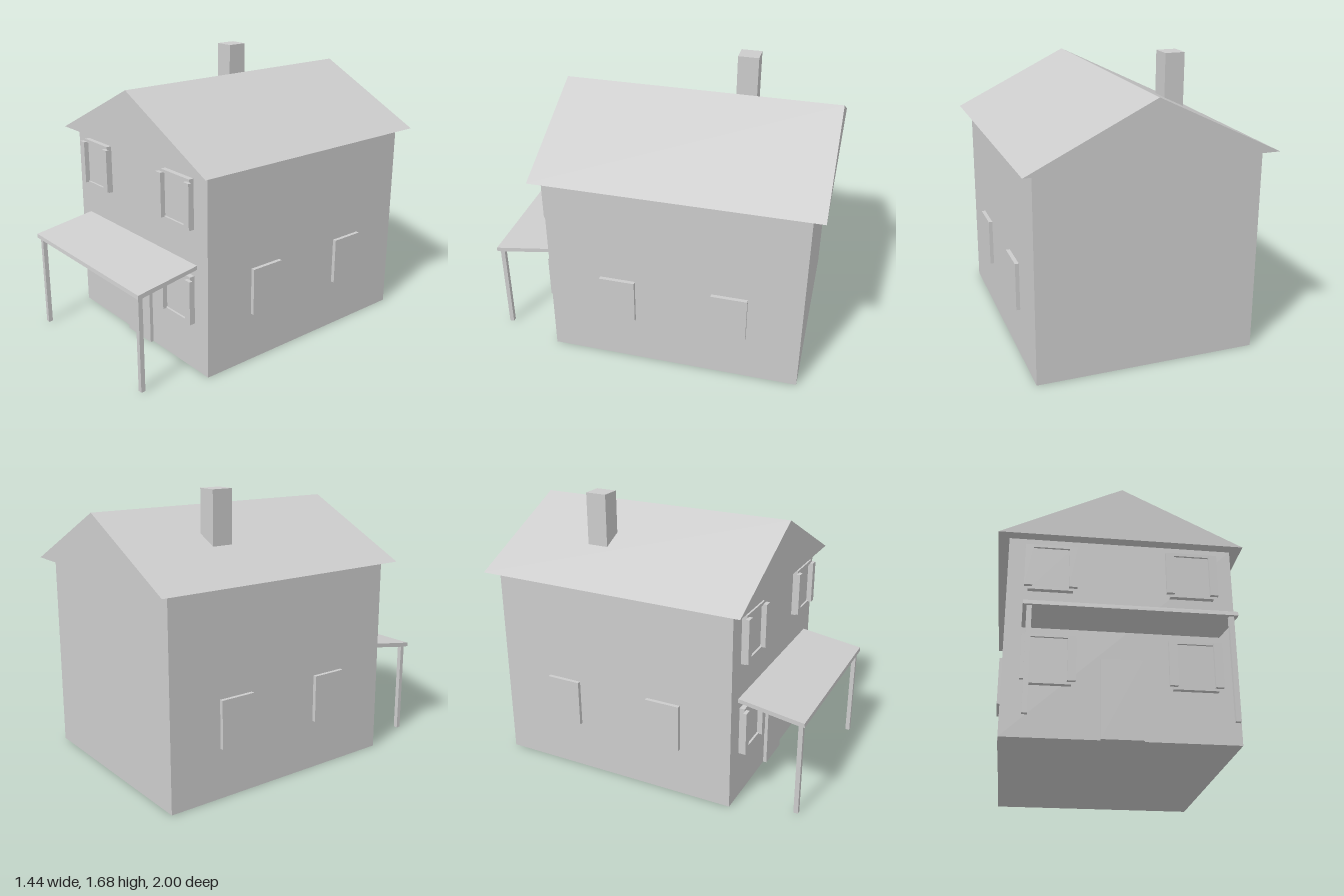
import * as THREE from 'three';

export function createModel() {
  const house = new THREE.Group();
  house.name = 'house';
  const plaster = new THREE.MeshStandardMaterial({ color: 0xcccccc });
  plaster.name = 'light grey';

  const add = (name, geometry, parent = house) => {
    const mesh = new THREE.Mesh(geometry, plaster);
    mesh.name = name;
    parent.add(mesh);
    return mesh;
  };

  // Box given by its lower and upper limits on each axis
  const box = (name, x0, x1, y0, y1, z0, z1, parent) => {
    const mesh = add(name, new THREE.BoxGeometry(x1 - x0, y1 - y0, z1 - z0), parent);
    mesh.position.set((x0 + x1) / 2, (y0 + y1) / 2, (z0 + z1) / 2);
    return mesh;
  };

  const polygon = (points) => new THREE.Shape(points.map(([x, y]) => new THREE.Vector2(x, y)));
  const extrude = (shape, depth) => new THREE.ExtrudeGeometry(shape, { depth, bevelEnabled: false });

  // Walls and gabled roof
  box('walls', -0.655, 0.655, 0, 1.21, -0.93, 0.605);
  const roof = add('roof', extrude(polygon([[-0.72, 1.21], [0.72, 1.21], [0, 1.56]]), 1.67));
  roof.position.z = -1;
  box('chimney', -0.39, -0.27, 1.3, 1.685, -0.46, -0.33);

  // Door
  box('door', -0.118, 0.118, 0, 0.463, 0.6, 0.627);

  // Front windows: frame, recessed pane and a pair of shutters
  const frontWindow = (x, y) => {
    const group = new THREE.Group();
    group.name = 'frontWindow';
    group.position.set(x, y, 0.605);
    house.add(group);
    const w = 0.128, h = 0.147;
    const frame = polygon([[-w, -h], [w, -h], [w, h], [-w, h]]);
    const a = 0.112, b = 0.128;
    frame.holes.push(new THREE.Path([[-a, -b], [-a, b], [a, b], [a, -b]].map(([u, v]) => new THREE.Vector2(u, v))));
    add('windowFrame', extrude(frame, 0.031), group);
    box('windowPane', -a, a, -b, b, 0, 0.018, group);
    for (const s of [-1, 1]) {
      const c = s * 0.1275;
      box('shutter', c - 0.0235, c + 0.0235, -0.132, 0.132, 0.031, 0.053, group);
    }
  };
  for (const s of [-1, 1]) for (const y of [0.443, 1.014]) frontWindow(s * 0.408, y);

  // Side windows
  for (const s of [-1, 1]) {
    for (const z of [0.178, -0.5]) {
      const sideWindow = box('sideWindow', -0.02, 0.02, 0.3, 0.585, z - 0.108, z + 0.108);
      sideWindow.position.x = s * 0.658;
    }
  }

  // Sloping porch roof, profile drawn in z and y, swept across x
  const porchProfile = polygon([[-0.605, 0.637], [-0.605, 0.661], [-0.997, 0.602], [-1, 0.579], [-0.975, 0.578]]);
  const porchRoof = add('porchRoof', extrude(porchProfile, 1.12));
  porchRoof.rotation.y = Math.PI / 2;
  porchRoof.position.x = -0.56;

  // Porch posts
  for (const s of [-1, 1]) {
    const post = box('porchPost', -0.0135, 0.0135, 0, 0.583, 0.958, 0.985);
    post.position.x = s * 0.527;
  }

  return house;
}
